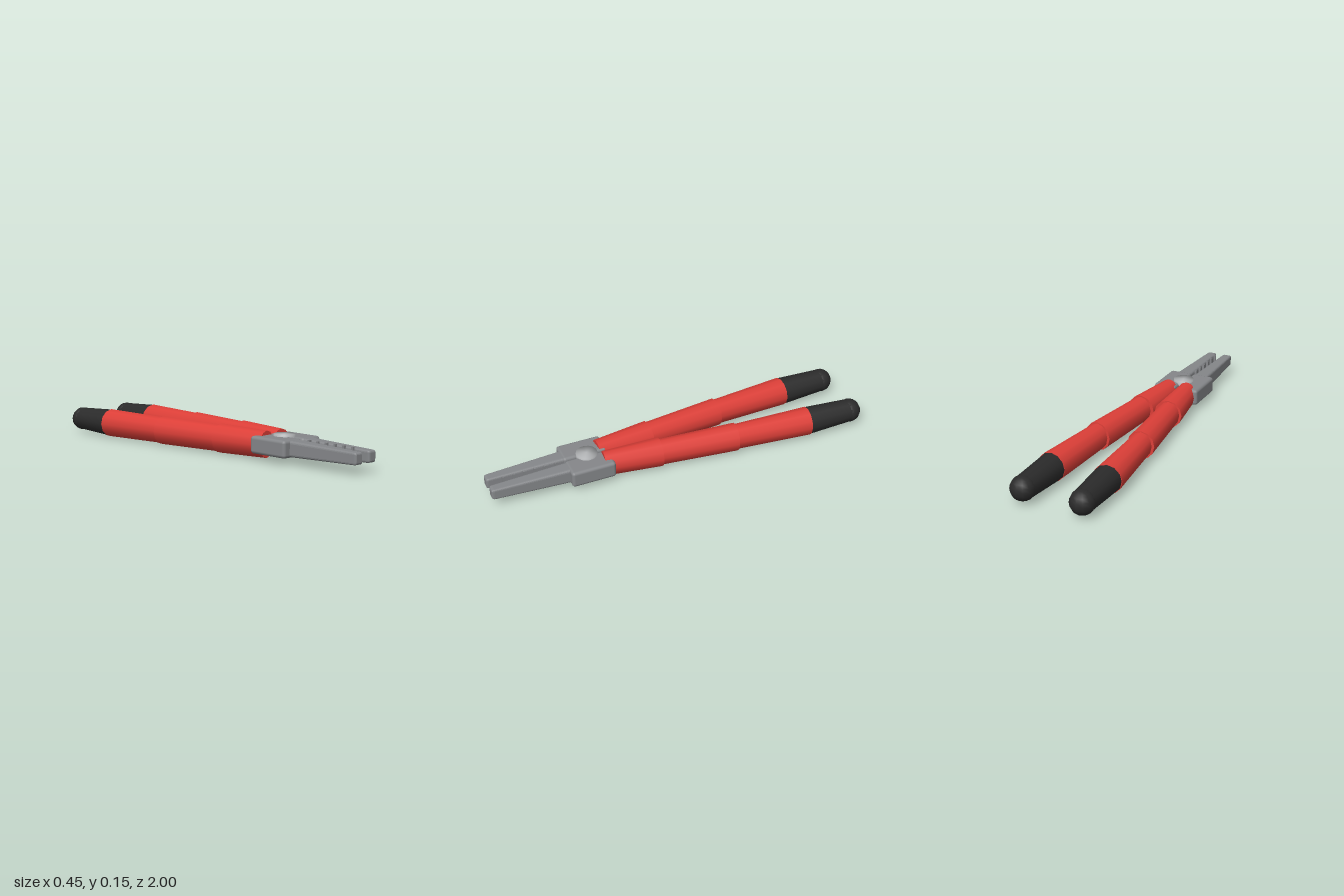
import * as THREE from 'three';
import { RoundedBoxGeometry } from 'three/addons/geometries/RoundedBoxGeometry.js';

const MID = 0.077; // height of the tool's middle plane
const mat = (color) => new THREE.MeshStandardMaterial({ color });
const steel = mat(0x85878a);
const rivetSteel = mat(0xb4b6b8);
const grip = mat(0xdd3f38);
const rubber = mat(0x2b2b2b);

function add(parent, name, geometry, material, x = 0, y = 0, z = 0) {
  const mesh = new THREE.Mesh(geometry, material);
  mesh.name = name;
  mesh.position.set(x, y, z);
  parent.add(mesh);
  return mesh;
}

// Tapered oval sleeve from a front point to a back point in the middle plane.
// Each end is [x, z, half width, half height].
function sleeve(parent, name, front, back, material) {
  const [x0, z0, w0, h0] = front;
  const [x1, z1, w1, h1] = back;
  const length = Math.hypot(x1 - x0, z1 - z0);
  const g = new THREE.CylinderGeometry(1, 1, length, 12, 1);
  g.rotateX(Math.PI / 2); // top end now faces +z
  const p = g.attributes.position;
  for (let i = 0; i < p.count; i++) {
    const atFront = p.getZ(i) > 0;
    p.setX(i, p.getX(i) * (atFront ? w0 : w1));
    p.setY(i, p.getY(i) * (atFront ? h0 : h1));
  }
  const mesh = add(parent, name, g, material, (x0 + x1) / 2, 0.075, (z0 + z1) / 2);
  mesh.rotation.y = Math.atan2(x0 - x1, z0 - z1);
}

// Rounded jaw that narrows towards the tip
function jawGeometry(side) {
  const z0 = 0.58, z1 = 1.0;
  const g = new RoundedBoxGeometry(1, 1, z1 - z0, 2, 0.001);
  g.dispose();
  const box = new RoundedBoxGeometry(0.08, 0.08, z1 - z0, 2, 0.014);
  const p = box.attributes.position;
  for (let i = 0; i < p.count; i++) {
    const t = p.getZ(i) / (z1 - z0) + 0.5;
    const width = THREE.MathUtils.lerp(0.08, 0.05, t);
    const height = THREE.MathUtils.lerp(0.08, 0.058, t);
    const centre = side * THREE.MathUtils.lerp(0.05, 0.046, t);
    p.setXYZ(i, centre + p.getX(i) / 0.08 * width, p.getY(i) / 0.08 * height, p.getZ(i) + (z0 + z1) / 2);
  }
  box.computeVertexNormals();
  return box;
}

export function createModel() {
  const model = new THREE.Group();
  model.name = 'pliers';

  for (const side of [1, -1]) {
    const half = new THREE.Group();
    half.name = side > 0 ? 'leftHalf' : 'rightHalf';
    model.add(half);

    // Steel head and jaw
    add(half, 'headBlock', new RoundedBoxGeometry(0.123, 0.087, 0.232, 2, 0.016), steel, side * 0.0655, MID, 0.49);
    add(half, 'jaw', jawGeometry(side), steel, 0, MID, 0);

    // Three overlapping grip sleeves and a rubber end
    const s = (x, z, w, h) => [side * x, z, w, h];
    sleeve(half, 'gripFront', s(0.051, 0.415, 0.053, 0.068), s(0.077, 0.12, 0.075, 0.075), grip);
    sleeve(half, 'gripMiddle', s(0.079, 0.13, 0.059, 0.069), s(0.12, -0.285, 0.071, 0.074), grip);
    sleeve(half, 'gripBack', s(0.119, -0.275, 0.057, 0.069), s(0.149, -0.69, 0.075, 0.075), grip);
    sleeve(half, 'endSleeve', s(0.148, -0.685, 0.073, 0.073), s(0.155, -0.935, 0.06, 0.061), rubber);
    add(half, 'endCap', new THREE.SphereGeometry(0.062, 12, 10), rubber, side * 0.155, 0.075, -0.938);
  }

  // Pivot rivet with softly shaded faces
  const profile = [[0, -0.054], [0.054, -0.054], [0.054, 0.054], [0, 0.054]]
    .map(([r, y]) => new THREE.Vector2(r, y));
  add(model, 'pivotRivet', new THREE.LatheGeometry(profile, 24), rivetSteel, 0, MID, 0.485);

  // Row of gripping teeth between the jaws
  const teeth = new THREE.Group();
  teeth.name = 'teeth';
  model.add(teeth);
  for (let i = 0; i < 6; i++) {
    add(teeth, 'tooth', new THREE.BoxGeometry(0.012, 0.082, 0.012), steel, 0, MID, 0.65 + i * 0.054);
  }
  return model;
}
